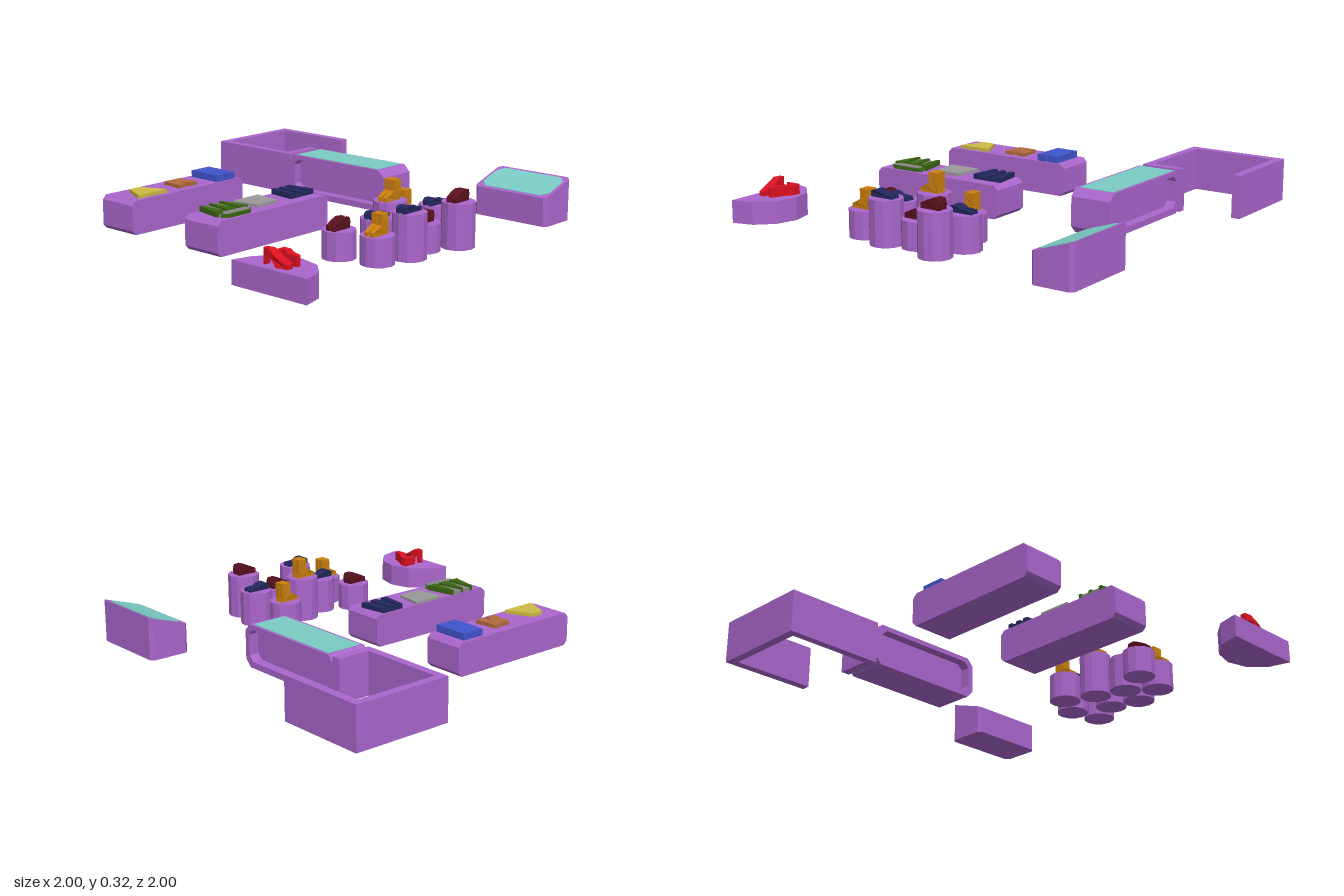
import * as THREE from 'three';

const mat = (color) => new THREE.MeshStandardMaterial({ color, flatShading: true });
const purple = mat(0xaa66cc), teal = mat(0x7accc4), red = mat(0xdd1122), maroon = mat(0x5c1220),
  navy = mat(0x24285e), orange = mat(0xcc8010), yellow = mat(0xccbb44), rust = mat(0xb06a3c),
  blue = mat(0x4055cc), green = mat(0x3a6612), grey = mat(0x888888), pale = mat(0x999999);

const toShape = (pts) => new THREE.Shape(pts.map(([x, y]) => new THREE.Vector2(x, y)));
const extrude = (shape, depth) => new THREE.ExtrudeGeometry(shape, { depth, bevelEnabled: false });

// Rectangle with cut corners
const chamfered = (x0, y0, x1, y1, c) => [
  [x0 + c, y0], [x1 - c, y0], [x1, y0 + c], [x1, y1 - c],
  [x1 - c, y1], [x0 + c, y1], [x0, y1 - c], [x0, y0 + c]];

// Outline given in x,z, raised from y by h
function slab(pts, y, h) {
  const g = extrude(toShape(pts.map(([x, z]) => [x, -z])), h);
  return g.rotateX(-Math.PI / 2).translate(0, y, 0);
}

// Profile given in z,y, extruded from x0 to x1
function across(shape, x0, x1) {
  return extrude(shape, x1 - x0).rotateY(-Math.PI / 2).translate(x1, 0, 0);
}

function box(x0, x1, y0, y1, z0, z1) {
  return new THREE.BoxGeometry(x1 - x0, y1 - y0, z1 - z0)
    .translate((x0 + x1) / 2, (y0 + y1) / 2, (z0 + z1) / 2);
}

export function createModel() {
  const root = new THREE.Group();
  const add = (name, geo, material, parent = root) => {
    const m = new THREE.Mesh(geo, material);
    m.name = name;
    parent.add(m);
    return m;
  };
  const group = (name) => {
    const g = new THREE.Group();
    g.name = name;
    root.add(g);
    return g;
  };

  // Two long clothing tables with cut ends
  for (const z of [-0.615, -0.02]) {
    const g = extrude(toShape(chamfered(-0.735, 0, 0.03, 0.172, 0.022)), 0.22);
    add('clothingTable', g.translate(0, 0, z), purple);
  }
  const top = 0.172;

  // Clothes on the back table
  add('yellowSkirt', slab([[-0.61, -0.555], [-0.54, -0.555], [-0.48, -0.42], [-0.67, -0.42]], top, 0.018), yellow);
  add('shorts', slab([[-0.37, -0.56], [-0.265, -0.56], [-0.255, -0.44], [-0.305, -0.44],
    [-0.317, -0.495], [-0.33, -0.44], [-0.38, -0.44]], top, 0.018), rust);
  add('trousers', slab([[-0.145, -0.595], [-0.02, -0.595], [-0.02, -0.405], [-0.08, -0.405],
    [-0.085, -0.53], [-0.09, -0.405], [-0.145, -0.405]], top, 0.035), blue);

  // Striped dress with a wide hem
  const dress = group('stripedDress');
  add('dressBody', slab([[-0.635, -0.015], [-0.51, -0.015], [-0.485, 0.135], [-0.66, 0.135]], top, 0.016), grey, dress);
  for (const x of [-0.572, -0.637, -0.507]) {
    const flare = (x + 0.572) * 0.18;
    add('greenStripe', slab([[x - 0.008, -0.015], [x + 0.008, -0.015],
      [x + 0.028 + flare, 0.135], [x - 0.028 + flare, 0.135]], top, 0.026), green, dress);
  }
  add('hem', slab([[-0.645, 0.132], [-0.495, 0.132], [-0.47, 0.158], [-0.495, 0.183],
    [-0.645, 0.183], [-0.67, 0.158]], top, 0.018), green, dress);
  add('hemPanel', slab([[-0.64, 0.138], [-0.5, 0.138], [-0.482, 0.158], [-0.5, 0.177],
    [-0.64, 0.177], [-0.658, 0.158]], top, 0.022), grey, dress);

  // Grey top and pleated skirt
  add('greyTop', slab([[-0.42, -0.015], [-0.245, -0.015], [-0.265, 0.135], [-0.4, 0.135]], top, 0.014), pale);
  const skirt = group('pleatedSkirt');
  for (let i = 0; i < 5; i++) {
    const a = -0.148 + i * 0.026, b = -0.166 + i * 0.0335;
    add('pleat', slab([[a, -0.015], [a + 0.026, -0.015], [b + 0.0335, 0.133], [b, 0.133]],
      top, i % 2 ? 0.016 : 0.026), navy, skirt);
  }

  // Low display case with recessed sides and a glass top
  const display = group('displayCase');
  const inner = chamfered(-0.43, 0.032, 0.17, 0.195, 0.028);
  const frame = toShape(chamfered(-0.47, 0, 0.2, 0.22, 0.036));
  frame.holes.push(new THREE.Path(inner.map(([x, y]) => new THREE.Vector2(x, y))));
  add('caseFrame', across(frame, 0.468, 0.685), purple, display);
  add('casePanel', across(toShape(inner), 0.52, 0.633), purple, display);
  add('caseGlass', box(0.483, 0.672, 0.21, 0.2225, -0.42, 0.15), teal, display);
  add('casePost', box(0.468, 0.685, 0, 0.22, -0.512, -0.465), purple, display);

  // Three-sided counter wall
  add('counterWall', slab([[0.468, -1], [1, -1], [1, -0.512], [0.955, -0.512], [0.955, -0.957],
    [0.51, -0.957], [0.51, -0.512], [0.468, -0.512]], 0, 0.22), purple);

  // Sloping glass case: the top vertices follow the slope
  const slope = (g, lift) => {
    const p = g.attributes.position;
    for (let i = 0; i < p.count; i++) {
      if (p.getY(i) > 0.1) p.setY(i, 0.148 + (p.getX(i) - 0.78) * 0.072 / 0.22 + lift);
    }
    g.computeVertexNormals();
    return g;
  };
  add('slopingCase', slope(slab(chamfered(0.78, 0.555, 1, 0.995, 0.018), 0, 0.2), 0), purple);
  add('slopingGlass', slope(slab(chamfered(0.797, 0.572, 0.983, 0.98, 0.035), 0.05, 0.2), 0.003), teal);

  // Half-round pedestal
  const half = [];
  for (let i = 0; i <= 6; i++) {
    const a = (i / 6 - 0.5) * Math.PI;
    half.push([-1 + 0.22 * Math.cos(a), 0.777 + 0.222 * Math.sin(a)]);
  }
  add('halfRoundPedestal', slab(half, 0, 0.115), purple);

  // High-heeled pair, one upright and one lying on its side
  const heel = [[0.85, 0], [0.85, 0.022], [0.79, 0.045], [0.745, 0.075], [0.705, 0.075],
    [0.705, 0], [0.718, 0], [0.725, 0.04], [0.75, 0.04], [0.79, 0]];
  const upright = across(toShape(heel), -0.968, -0.915);
  const pos = upright.attributes.position;
  for (let i = 0; i < pos.count; i++) {
    const taper = 1 - Math.min(0.5, Math.abs(pos.getZ(i) - 0.79) * 6);
    pos.setX(i, -0.9415 + (pos.getX(i) + 0.9415) * taper);
  }
  upright.computeVertexNormals();
  add('uprightHeel', upright.translate(0, 0.115, 0), red);
  add('lyingHeel', slab(heel.map(([z, y]) => [-0.898 + y, z]), 0.115, 0.05), red);

  // Shoe profiles (x along the foot, toe towards -x)
  const styles = {
    shoe: { color: maroon, pts: [[-0.057, 0], [-0.057, 0.024], [-0.015, 0.044], [0.015, 0.055], [0.05, 0.053], [0.057, 0.03], [0.052, 0]] },
    flat: { color: navy, pts: [[-0.063, 0], [-0.063, 0.026], [-0.045, 0.035], [-0.015, 0.033], [0.005, 0.02], [0.06, 0.018], [0.063, 0]] },
    boot: { color: orange, pts: [[-0.057, 0], [-0.057, 0.02], [-0.03, 0.033], [-0.004, 0.048], [-0.004, 0.1], [0.047, 0.1], [0.047, 0.02], [0.05, 0]] },
  };
  function pair(style, x, y, z) {
    const { color, pts } = styles[style];
    const g = group(style + 'Pair');
    for (const s of [-1, 1]) {
      const geo = extrude(toShape(pts), 0.028).translate(0, 0, -0.014);
      const p = geo.attributes.position;
      // Narrow the toe and heel
      for (let i = 0; i < p.count; i++) {
        if (Math.abs(p.getX(i)) > 0.048) p.setZ(i, p.getZ(i) * 0.7);
      }
      geo.computeVertexNormals();
      add(style, geo, color, g).position.z = s * 0.0155;
    }
    g.position.set(x, y, z);
  }

  // Cluster of round plinths, each with a pair of shoes
  const plinths = [
    [-0.345, 0.605, 0.138, 'shoe'], [-0.175, 0.695, 0.178, 'flat'], [-0.015, 0.64, 0.225, 'boot'],
    [0.147, 0.577, 0.138, 'boot'], [0.229, 0.725, 0.178, 'flat'], [-0.303, 0.802, 0.138, 'boot'],
    [-0.133, 0.852, 0.225, 'flat'], [0.026, 0.81, 0.138, 'shoe'], [0.187, 0.892, 0.225, 'shoe']];
  for (const [x, z, h, style] of plinths) {
    add('roundPlinth', new THREE.CylinderGeometry(0.083, 0.083, h, 12).translate(x, h / 2, z), purple);
    pair(style, x - 0.006, h, z);
  }
  return root;
}
